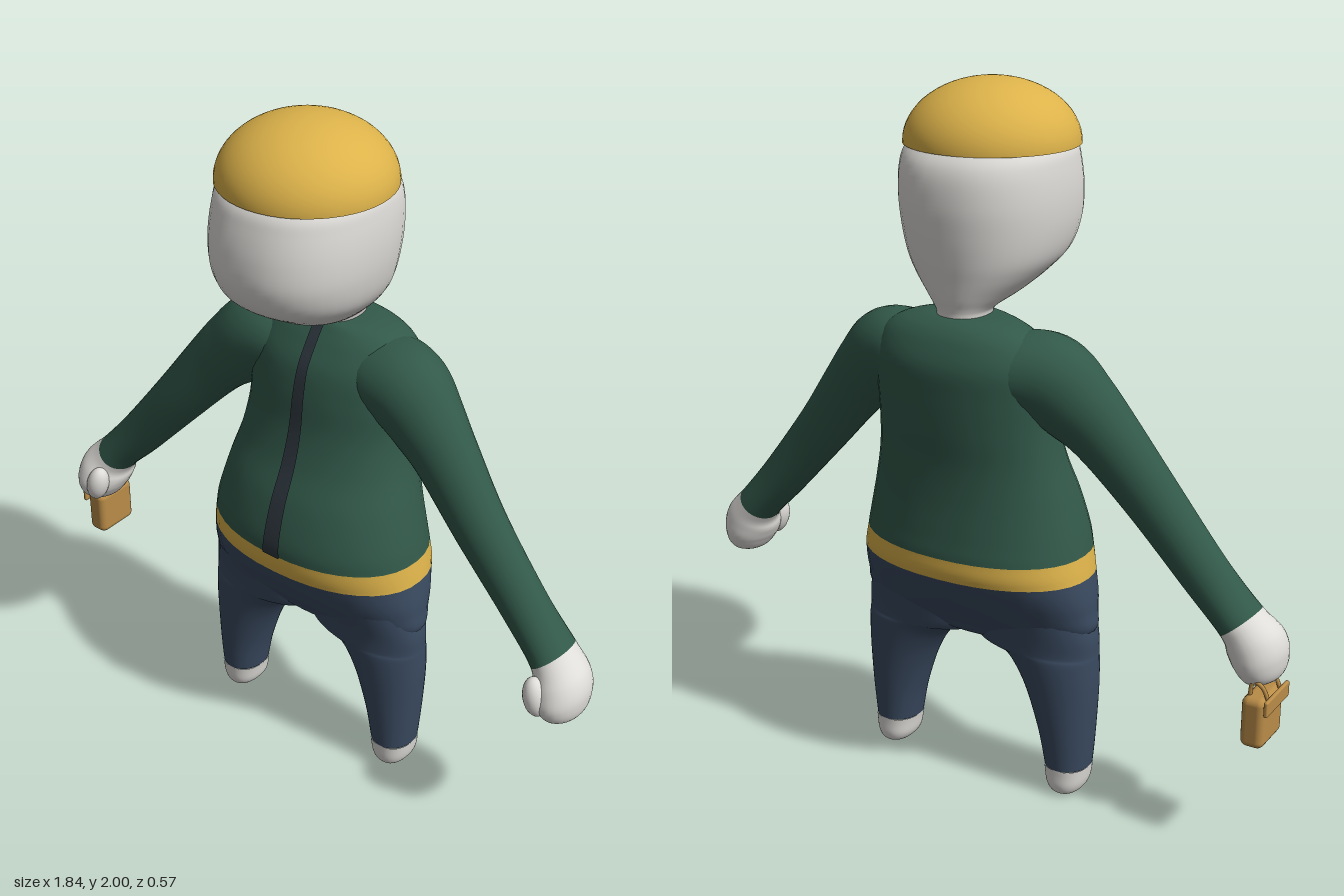
import * as THREE from 'three';
import { RoundedBoxGeometry } from 'three/addons/geometries/RoundedBoxGeometry.js';

const mat = (name, color, side = THREE.FrontSide) => {
  const m = new THREE.MeshStandardMaterial({ color, side });
  m.name = name;
  return m;
};

// Surface from fn(u, v), u and v in 0..1; wrap joins the last column to the first
function grid(nu, nv, fn, wrap = true, flip = false) {
  const cols = wrap ? nu : nu + 1, pos = [], idx = [];
  for (let j = 0; j <= nv; j++)
    for (let i = 0; i < cols; i++) pos.push(...fn(i / nu, j / nv));
  for (let j = 0; j < nv; j++)
    for (let i = 0; i < nu; i++) {
      const a = j * cols + i, b = j * cols + (i + 1) % cols, c = b + cols, d = a + cols;
      if (flip) idx.push(a, c, b, a, d, c);
      else idx.push(a, b, c, a, c, d);
    }
  const g = new THREE.BufferGeometry();
  g.setAttribute('position', new THREE.Float32BufferAttribute(pos, 3));
  g.setIndex(idx);
  g.computeVertexNormals();
  return g;
}

// Smooth value of a table of rows at a fractional row number
function sample(rows, t) {
  const last = rows.length - 1;
  const i = Math.min(Math.max(Math.floor(t), 0), last - 1), f = t - i;
  const row = k => rows[Math.min(Math.max(k, 0), last)];
  return rows[i].map((p1, k) => {
    const p2 = row(i + 1)[k];
    const m1 = (p2 - row(i - 1)[k]) / 2, m2 = (row(i + 2)[k] - p1) / 2;
    const f2 = f * f, f3 = f2 * f;
    return (2 * f3 - 3 * f2 + 1) * p1 + (f3 - 2 * f2 + f) * m1 + (3 * f2 - 2 * f3) * p2 + (f3 - f2) * m2;
  });
}

const power = (v, n) => Math.sign(v) * Math.abs(v) ** (2 / n);

// Upright loft; rows are [y, xMin, xMax, zBack, zFront]
function upright(rows, from, to, n = 2, side = 1) {
  return grid(40, Math.ceil((to - from) * 6), (u, v) => {
    const [y, x0, x1, z0, z1] = sample(rows, from + (to - from) * v);
    const a = u * Math.PI * 2;
    return [
      side * ((x0 + x1) / 2 + (x1 - x0) / 2 * power(Math.sin(a), n)), y,
      (z0 + z1) / 2 + (z1 - z0) / 2 * power(Math.cos(a), n),
    ];
  }, true, side < 0);
}

// Limb loft along a path; rows are [x, y, z, radius, depthRadius]
function limb(rows, from, to, side) {
  return grid(28, Math.ceil((to - from) * 6), (u, v) => {
    const t = from + (to - from) * v, [x, y, z, r, rz] = sample(rows, t);
    const p = sample(rows, Math.max(t - 0.1, 0)), q = sample(rows, Math.min(t + 0.1, rows.length - 1));
    const tx = q[0] - p[0], ty = q[1] - p[1], len = Math.hypot(tx, ty) || 1;
    const a = u * Math.PI * 2, c = r * Math.cos(a) / len;
    return [side * (x - ty * c), y + tx * c, z + rz * Math.sin(a)];
  }, true, side < 0);
}

const symmetric = rows => rows.map(([y, w, z0, z1]) => [y, -w, w, z0, z1]);

const TORSO = symmetric([
  [0.445, 0.01, -0.05, -0.03], [0.45, 0.15, -0.11, 0.03], [0.5, 0.35, -0.15, 0.07],
  [0.58, 0.365, -0.21, 0.125], [0.675, 0.35, -0.27, 0.17], [0.74, 0.337, -0.277, 0.18],
  [0.8, 0.325, -0.272, 0.175], [0.9, 0.3, -0.265, 0.145], [1.0, 0.275, -0.265, 0.1],
  [1.1, 0.262, -0.275, 0.07], [1.2, 0.262, -0.282, 0.055], [1.28, 0.26, -0.283, 0.035],
  [1.34, 0.235, -0.262, 0.0], [1.375, 0.19, -0.238, -0.025], [1.395, 0.12, -0.21, -0.04],
  [1.4, 0.05, -0.19, -0.05],
]);
const HEAD = symmetric([
  [1.36, 0.07, -0.2, -0.04], [1.4, 0.07, -0.2, -0.04], [1.42, 0.08, -0.203, -0.015],
  [1.45, 0.115, -0.212, 0.09], [1.5, 0.165, -0.222, 0.18], [1.55, 0.2, -0.232, 0.25],
  [1.62, 0.22, -0.243, 0.284], [1.7, 0.228, -0.25, 0.285], [1.78, 0.225, -0.243, 0.268],
  [1.83, 0.213, -0.215, 0.245], [1.88, 0.17, -0.15, 0.18], [1.91, 0.08, -0.06, 0.1],
  [1.915, 0.001, 0.019, 0.021],
]);
const LEG = [
  [0, 0.285, 0.295, -0.04, -0.03], [0.004, 0.258, 0.327, -0.09, 0.015], [0.03, 0.236, 0.347, -0.108, 0.034],
  [0.085, 0.225, 0.356, -0.11, 0.04], [0.2, 0.2, 0.366, -0.12, 0.047], [0.335, 0.15, 0.374, -0.13, 0.055],
  [0.42, 0.085, 0.374, -0.137, 0.062], [0.445, 0.0, 0.373, -0.14, 0.066], [0.5, -0.02, 0.37, -0.15, 0.075],
  [0.58, 0.0, 0.35, -0.17, 0.1],
];
const ARM = [
  [0.08, 1.26, -0.12, 0.08, 0.1], [0.16, 1.265, -0.115, 0.105, 0.125], [0.25, 1.245, -0.1, 0.124, 0.118],
  [0.33, 1.18, -0.085, 0.112, 0.1], [0.405, 1.105, -0.07, 0.096, 0.084], [0.535, 0.95, -0.05, 0.081, 0.071],
  [0.69, 0.77, -0.042, 0.069, 0.067], [0.797, 0.655, -0.035, 0.063, 0.078], [0.835, 0.6, -0.022, 0.077, 0.095],
  [0.85, 0.55, -0.015, 0.071, 0.098], [0.855, 0.505, -0.015, 0.048, 0.07], [0.857, 0.486, -0.015, 0.002, 0.002],
];

export function createModel() {
  const model = new THREE.Group();
  model.name = 'figure';
  const skin = mat('pale skin', 0xdfddd9), green = mat('green cloth', 0x32594a);
  const navy = mat('navy cloth', 0x3a4a60), gold = mat('gold', 0xdcb24a, THREE.DoubleSide);
  const dark = mat('dark trim', 0x2c353c), tan = mat('tan leather', 0xb98c48);
  const add = (name, geometry, material, parent = model) => {
    const mesh = new THREE.Mesh(geometry, material);
    mesh.name = name;
    parent.add(mesh);
    return mesh;
  };

  // Body in bands of colour
  add('hips', upright(TORSO, 0, 4, 2.2), navy);
  add('belt', upright(TORSO, 4, 5, 2.2), gold);
  add('jacket', upright(TORSO, 5, 15, 2.2), green);
  add('head', upright(HEAD, 0, 12, 2.25), skin);

  // Front strip lying just above the jacket, wider at the hem
  add('frontStrip', grid(6, 60, (u, v) => {
    const [y, , w, z0, z1] = sample(TORSO, 5 + 9.7 * v);
    const x = (u * 2 - 1) * (0.029 - 0.012 * Math.min(1, v * 1.6));
    const bulge = (1 - Math.abs(x / w) ** 2.2) ** (1 / 2.2);
    return [x, y + 0.002 * v, (z0 + z1) / 2 + (z1 - z0) / 2 * bulge + 0.005];
  }, false), dark);

  // Domed cap, open below
  const cap = add('cap', new THREE.SphereGeometry(1, 48, 16, 0, Math.PI * 2, 0, Math.PI / 2), gold);
  cap.scale.set(0.238, 0.17, 0.238);
  cap.position.set(0, 1.83, 0.018);

  // Limbs
  for (const [name, side] of [['left', 1], ['right', -1]]) {
    add(name + 'Foot', upright(LEG, 0, 3, 2.3, side), skin);
    add(name + 'TrouserLeg', upright(LEG, 3, 9, 2.1, side), navy);
    add(name + 'Sleeve', limb(ARM, 0, 7, side), green);
    add(name + 'Hand', limb(ARM, 7, 11, side), skin);
    const thumb = add(name + 'Thumb', new THREE.SphereGeometry(1, 20, 14), skin);
    thumb.scale.set(0.034, 0.06, 0.036);
    thumb.position.set(side * 0.808, 0.575, 0.06);
    thumb.rotation.z = side * 0.25;
  }

  // Small bag hanging from the right hand
  const bag = new THREE.Group();
  bag.name = 'bag';
  bag.position.set(-0.873, 0.41, -0.05);
  model.add(bag);
  add('bagBody', new RoundedBoxGeometry(0.066, 0.145, 0.14, 3, 0.02), tan, bag);
  add('bagSideBar', new RoundedBoxGeometry(0.012, 0.045, 0.15, 2, 0.005), tan, bag).position.set(-0.04, 0.055, 0);
  for (const z of [-0.04, 0.04]) {
    const loop = new THREE.CatmullRomCurve3([
      new THREE.Vector3(-0.036, 0.06, z), new THREE.Vector3(-0.015, 0.1, z),
      new THREE.Vector3(0.01, 0.11, z), new THREE.Vector3(0.02, 0.06, z),
    ]);
    add('bagHandle', new THREE.TubeGeometry(loop, 14, 0.006, 8), tan, bag);
  }
  return model;
}
